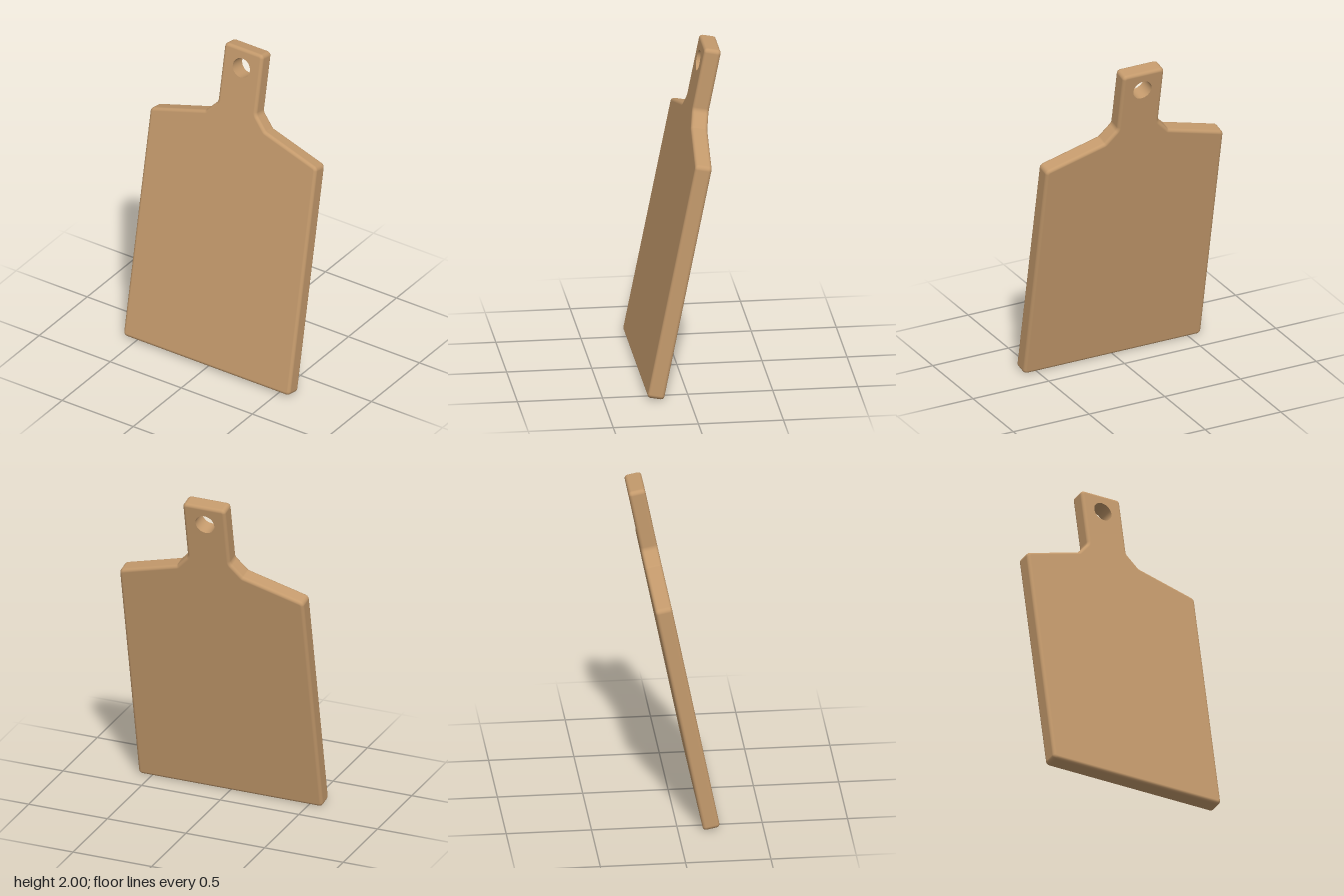
import * as THREE from 'three';

const THICK = 0.1, BEVEL = 0.02, LEAN = 0.196;
const HOLE_Y = 1.908, HOLE_R = 0.06;

// Right half of the outline from the bottom: x, y, corner radius
const half = [
  [0.585, 0, 0.025],
  [0.585, 1.458, 0.03],
  [0.21, 1.567, 0.02],
  [0.135, 1.649, 0.04],
  [0.135, 2.028, 0.025],
];

// Rounds each corner of the outline; returns points with outward normals
function roundedOutline(steps = 5) {
  const corners = [...half, ...half.map(([x, y, r]) => [-x, y, r]).reverse()];
  const at = (i) => new THREE.Vector2(...corners[(i + corners.length) % corners.length].slice(0, 2));
  const out = [];
  corners.forEach(([, , radius], i) => {
    const p = at(i);
    const u = p.clone().sub(at(i - 1)).normalize();
    const v = at(i + 1).sub(p).normalize();
    const turn = Math.atan2(u.cross(v), u.dot(v));
    const r = radius * Math.sign(turn); // negative on inward bends
    const n0 = new THREE.Vector2(u.y, -u.x), n1 = new THREE.Vector2(v.y, -v.x);
    const c = p.clone().addScaledVector(n0.clone().add(n1), -r / (1 + n0.dot(n1)));
    for (let k = 0; k <= steps; k++) {
      const n = n0.clone().rotateAround(new THREE.Vector2(), turn * k / steps);
      out.push({ p: c.clone().addScaledVector(n, r), n });
    }
  });
  return out;
}

// Edge band: outline loops swept around the rounded front and back edges
function rimGeometry(outline, steps = 4) {
  const rings = [];
  for (const side of [-1, 1]) {
    for (let k = 0; k <= steps; k++) {
      const a = (side < 0 ? k - steps : k) / steps * Math.PI / 2;
      rings.push({ a, z: side * (THICK / 2 - BEVEL) + BEVEL * Math.sin(a) });
    }
  }
  const pos = [], nor = [], idx = [], count = outline.length;
  rings.forEach(({ a, z }, j) => {
    const inset = BEVEL * (1 - Math.cos(a));
    outline.forEach(({ p, n }, i) => {
      pos.push(p.x - n.x * inset, p.y - n.y * inset, z);
      nor.push(n.x * Math.cos(a), n.y * Math.cos(a), Math.sin(a));
      if (j === rings.length - 1) return;
      const q = j * count + i, s = j * count + (i + 1) % count;
      idx.push(q, s, s + count, q, s + count, q + count);
    });
  });
  const g = new THREE.BufferGeometry();
  g.setAttribute('position', new THREE.Float32BufferAttribute(pos, 3));
  g.setAttribute('normal', new THREE.Float32BufferAttribute(nor, 3));
  g.setIndex(idx);
  return g;
}

export function createModel() {
  const wood = new THREE.MeshStandardMaterial({ color: 0xc49a6c });
  wood.name = 'wood';
  const board = new THREE.Group();
  board.name = 'choppingBoard';
  const add = (name, geometry) => {
    const mesh = new THREE.Mesh(geometry, wood);
    mesh.name = name;
    board.add(mesh);
    return mesh;
  };

  const outline = roundedOutline();
  add('roundedRim', rimGeometry(outline));

  // Flat faces with the hanging hole
  const face = new THREE.Shape(outline.map(({ p, n }) => p.clone().addScaledVector(n, -BEVEL)));
  face.holes.push(new THREE.Path().absarc(0, HOLE_Y, HOLE_R, 0, Math.PI * 2, true));
  const flat = new THREE.ShapeGeometry(face, 24);
  add('frontFace', flat).position.z = THICK / 2;
  const back = add('backFace', flat); // symmetric, so a half turn fits
  back.rotation.y = Math.PI;
  back.position.z = -THICK / 2;

  // Inner wall of the hole, listed top to bottom so it faces inward
  const wall = new THREE.LatheGeometry([
    new THREE.Vector2(HOLE_R, THICK / 2),
    new THREE.Vector2(HOLE_R, -THICK / 2),
  ], 48);
  const hole = add('holeWall', wall.rotateX(Math.PI / 2));
  hole.position.y = HOLE_Y;

  // Lean back, then stand on the ground and centre
  board.rotation.x = -LEAN;
  const box = new THREE.Box3().setFromObject(board, true);
  board.position.set(0, -box.min.y, -(box.min.z + box.max.z) / 2);

  const model = new THREE.Group();
  model.name = 'leaningBoard';
  model.add(board);
  return model;
}
